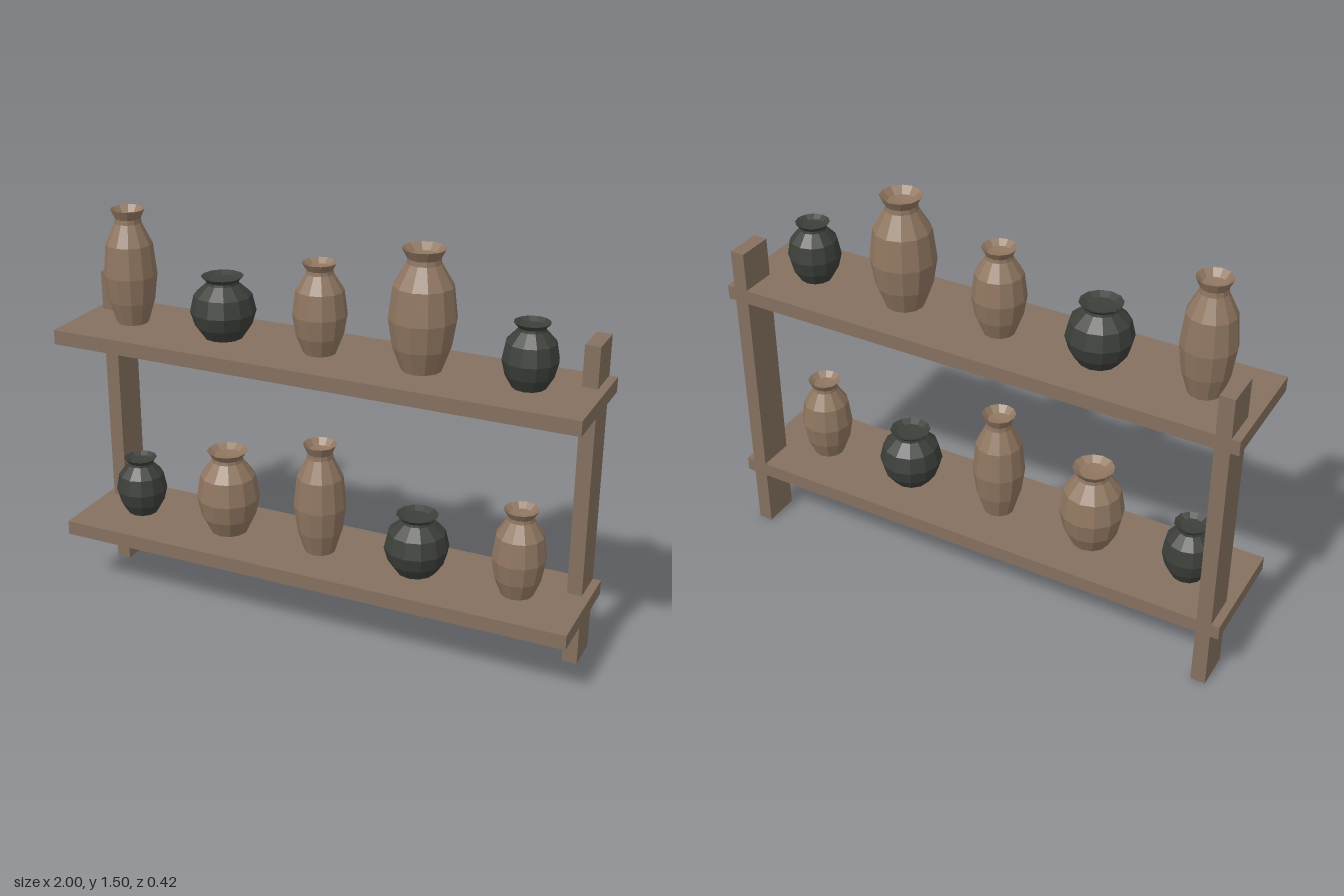
import * as THREE from 'three';

export function createModel() {
  const group = new THREE.Group();
  const material = (name, color) => {
    const m = new THREE.MeshStandardMaterial({ color, flatShading: true });
    m.name = name;
    return m;
  };
  const wood = material('wood', 0x857160);
  const clay = material('clay', 0x8f7660);
  const dark = material('dark glaze', 0x3c3f3a);

  const add = (name, geometry, mat, x, y, z) => {
    const mesh = new THREE.Mesh(geometry, mat);
    mesh.name = name;
    mesh.position.set(x, y, z);
    group.add(mesh);
  };

  // Upright posts at the back
  for (const [name, side] of [['leftPost', 1], ['rightPost', -1]]) {
    add(name, new THREE.BoxGeometry(0.055, 1.215, 0.14), wood, side * 0.942, 0.6075, -0.142);
  }

  // Shelf boards
  const shelfTops = { lower: 0.28, upper: 1.066 };
  for (const [name, top] of Object.entries(shelfTops)) {
    add(name + 'Shelf', new THREE.BoxGeometry(2, 0.055, 0.424), wood, 0, top - 0.0275, 0);
  }

  // Faceted pot: closed base, belly, narrow neck, flared rim and shallow mouth
  const profile = [
    [0, 0], [0.6, 0], [0.87, 0.2], [1, 0.43], [0.88, 0.7],
    [0.5, 0.88], [0.48, 0.92], [0.64, 1], [0.42, 0.945], [0, 0.93],
  ];
  const pot = (radius, height) => new THREE.LatheGeometry(
    profile.map(([r, y]) => new THREE.Vector2(r * radius, y * height)), 12);

  // Pots left to right across each shelf: [radius, height, material]
  const slim = 0.098, wide = 0.12;
  const rows = {
    upper: [[slim, 0.43, clay], [wide, 0.228, dark], [slim, 0.33, clay], [wide, 0.43, clay], [slim, 0.228, dark]],
    lower: [[slim, 0.228, dark], [wide, 0.33, clay], [slim, 0.43, clay], [wide, 0.228, dark], [slim, 0.33, clay]],
  };
  for (const [row, pots] of Object.entries(rows)) {
    pots.forEach(([radius, height, mat], i) => {
      add(`${row}Pot${i + 1}`, pot(radius, height), mat, -0.79 + i * 0.386, shelfTops[row], 0);
    });
  }
  return group;
}
